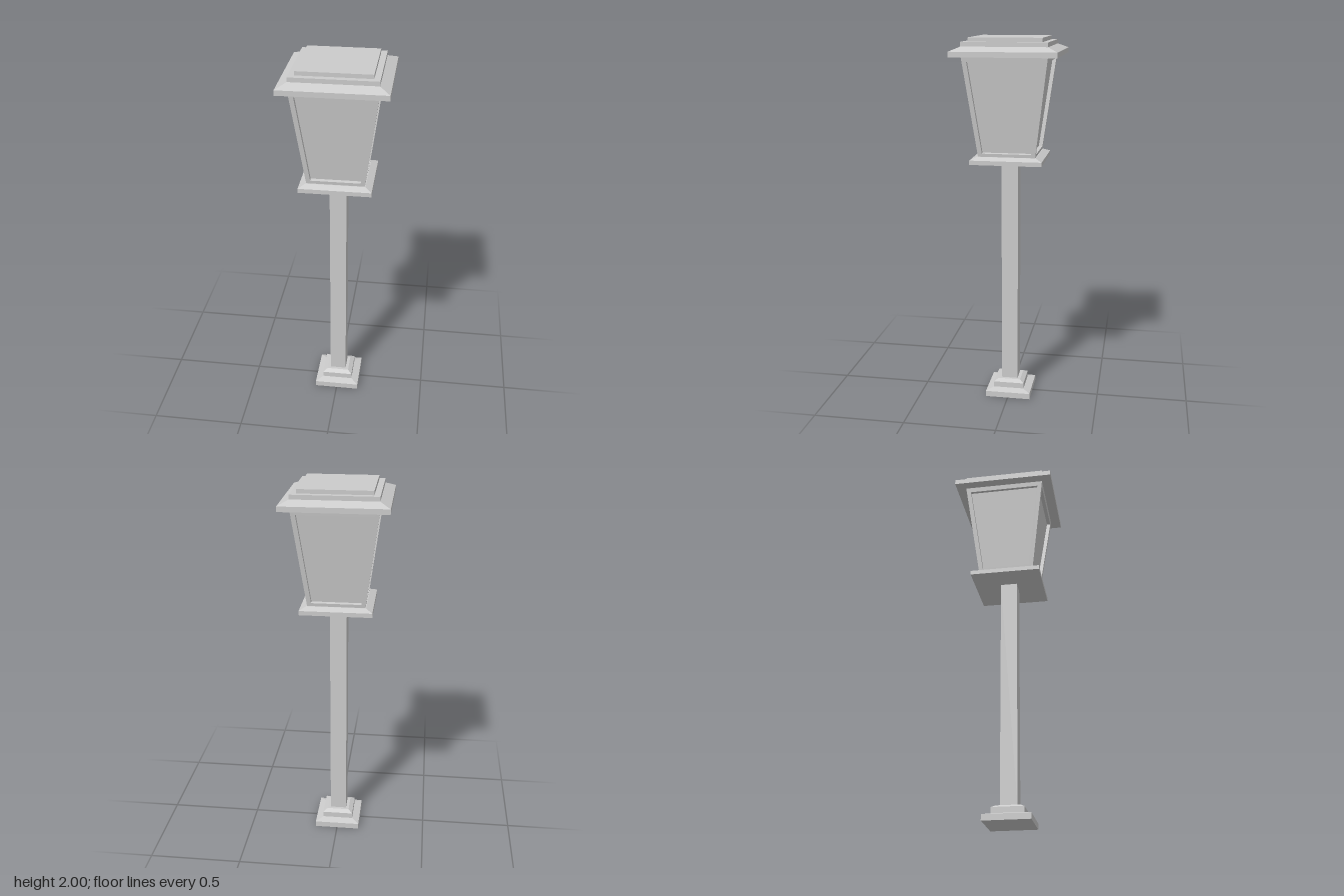
import * as THREE from 'three';

const material = new THREE.MeshStandardMaterial({ color: 0xcccccc, flatShading: true });

// Square solid from a profile of [half width, height], bottom to top, closed at both ends
function squareStack(name, profile) {
  const points = profile.map(([h, y]) => new THREE.Vector2(h * Math.SQRT2, y));
  points.unshift(new THREE.Vector2(0, profile[0][1]));
  points.push(new THREE.Vector2(0, profile[profile.length - 1][1]));
  const mesh = new THREE.Mesh(new THREE.LatheGeometry(points, 4, Math.PI / 4), material);
  mesh.name = name;
  return mesh;
}

// Lantern body: tapered square, wider at the top
const Y0 = 1.38, Y1 = 1.91, H0 = 0.15, H1 = 0.221;
const slope = (H1 - H0) / (Y1 - Y0);

// Four corners on the slanted front face, pushed inward by depth
function loop(bottom, top, halfBottom, halfTop, depth) {
  const n = Math.hypot(1, slope);
  return [[-halfBottom, bottom], [halfBottom, bottom], [halfTop, top], [-halfTop, top]].map(([x, y]) =>
    [x, y + (depth * slope) / n, H0 + slope * (y - Y0) - depth / n]);
}

function quads(name, list) {
  const positions = list.flatMap(([a, b, c, d]) => [a, b, c, a, c, d].flat());
  const geometry = new THREE.BufferGeometry();
  geometry.setAttribute('position', new THREE.Float32BufferAttribute(positions, 3));
  geometry.computeVertexNormals();
  const mesh = new THREE.Mesh(geometry, material);
  mesh.name = name;
  return mesh;
}

// One side: raised frame, opening edges and recessed pane
function lanternSide() {
  const side = new THREE.Group();
  side.name = 'lanternSide';
  const outer = loop(Y0, Y1, H0, H1, 0);
  const rim = loop(1.405, 1.88, 0.13, 0.193, 0);
  const recess = loop(1.405, 1.88, 0.13, 0.193, 0.02);
  const band = (p, q) => p.map((v, i) => [v, p[(i + 1) % 4], q[(i + 1) % 4], q[i]]);
  side.add(quads('frame', [...band(outer, rim), ...band(rim, recess)]));
  side.add(quads('pane', [recess]));
  return side;
}

export function createModel() {
  const model = new THREE.Group();
  model.name = 'lampPost';

  // Stepped foot and post
  model.add(squareStack('foot', [
    [0.125, 0], [0.125, 0.032], [0.085, 0.044], [0.085, 0.075], [0.062, 0.088],
  ]));
  model.add(squareStack('post', [[0.045, 0.08], [0.045, 1.36]]));

  // Lantern
  model.add(squareStack('lanternBase', [[0.19, 1.35], [0.19, 1.373], [0.155, 1.388]]));
  for (let i = 0; i < 4; i++) {
    const side = lanternSide();
    side.rotation.y = (i * Math.PI) / 2;
    model.add(side);
  }

  // Stepped roof
  model.add(squareStack('roof', [
    [0.274, 1.906], [0.274, 1.933], [0.221, 1.956], [0.221, 1.979], [0.19, 1.979], [0.19, 2],
  ]));
  return model;
}
